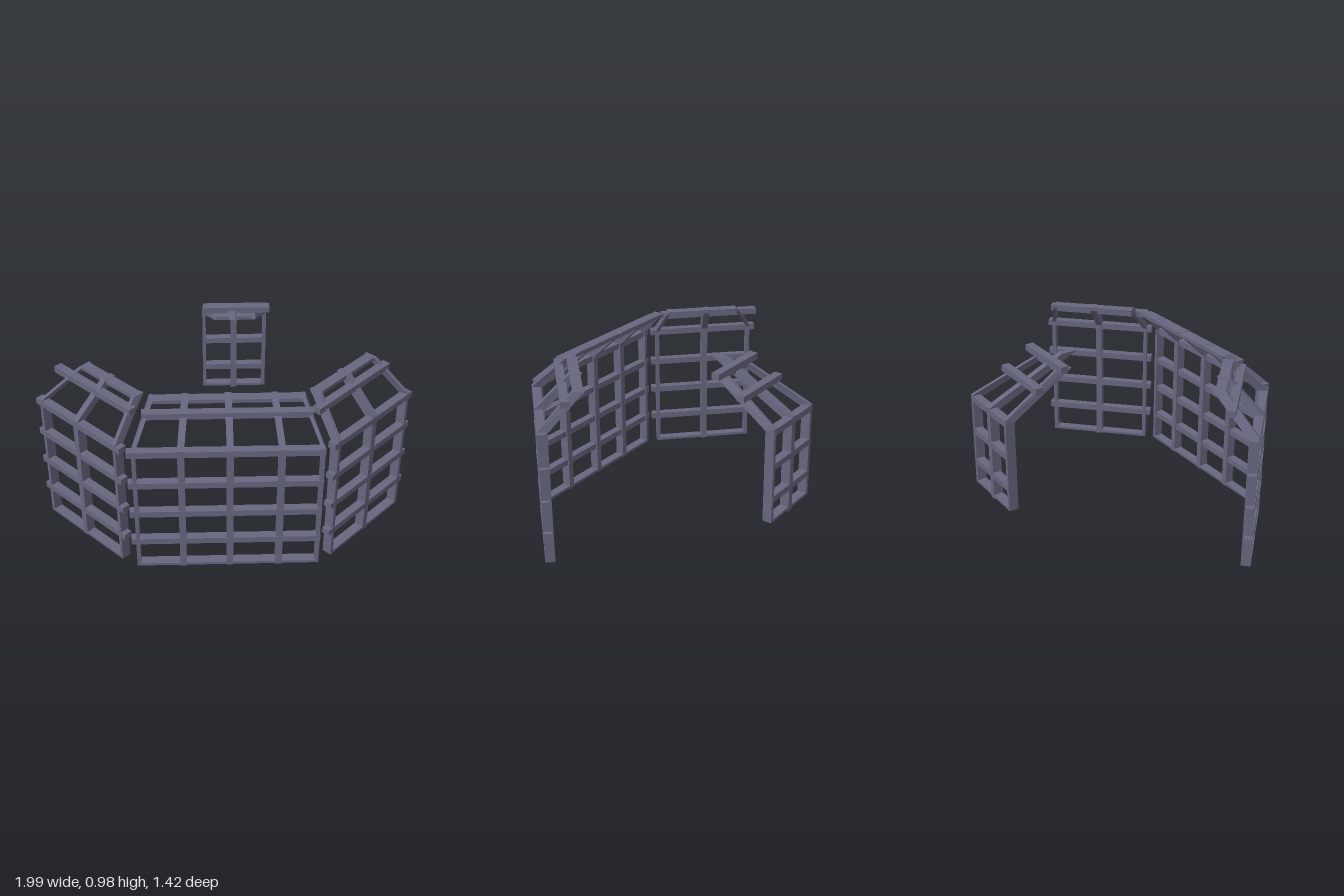
import * as THREE from 'three';

const material = new THREE.MeshStandardMaterial({ color: 0x66667f, flatShading: true });
const BEND = 0.764; // height where the bars lean inwards

function addMesh(group, geometry, name) {
  const mesh = new THREE.Mesh(geometry, material);
  mesh.name = name;
  group.add(mesh);
}

function addBox(group, name, x, y, z, w, h, d) {
  const g = new THREE.BoxGeometry(w, h, d);
  g.translate(x, y, z);
  addMesh(group, g, name);
}

// Upright bar: straight below the bend, leaning back above it and drifting sideways from x to xTop
function addBar(group, name, p, x, xTop, width, bottom, top) {
  const outer = -(top - BEND) / p.slope;
  const inner = -0.053 - (top - p.innerBend) / p.slope;
  const shape = new THREE.Shape([
    [0, bottom], [0, BEND], [outer, top], [inner, top], [-0.053, p.innerBend], [-0.053, bottom],
  ].map(([n, y]) => new THREE.Vector2(n, y)));
  const g = new THREE.ExtrudeGeometry(shape, { depth: width, bevelEnabled: false });
  g.translate(0, 0, -width / 2);
  g.rotateY(-Math.PI / 2);
  const pos = g.attributes.position;
  for (let i = 0; i < pos.count; i++) {
    const lean = Math.max(0, (pos.getY(i) - BEND) / (top - BEND));
    pos.setX(i, pos.getX(i) + x + (xTop - x) * lean);
  }
  g.computeVertexNormals();
  addMesh(group, g, name);
  return (outer + inner) / 2;
}

// One lattice panel; its outer face lies on local z = 0
function makePanel(p) {
  const panel = new THREE.Group();
  panel.name = p.name;
  const [l, r] = p.sides, [lt, rt] = p.topSides;
  // Thin frame
  addBar(panel, 'frameSide', p, l, lt, 0.02, p.bottom + 0.005, p.frameTop);
  const topZ = addBar(panel, 'frameSide', p, r, rt, 0.02, p.bottom + 0.005, p.frameTop);
  addBox(panel, 'frameBottom', (l + r) / 2, p.bottom + 0.0125, -0.0265, r - l, 0.015, 0.053);
  addBox(panel, 'frameTop', (lt + rt) / 2, p.frameTop - 0.01, topZ, rt - lt + 0.02, 0.02, 0.056);
  // Uprights
  for (const [x, xTop] of p.bars) addBar(panel, 'upright', p, x, xTop, 0.035, p.barBottom, p.barTop);
  // Cross slats: [x, y, z, width]
  for (const [x, y, z, w] of p.slats) addBox(panel, 'slat', x, y, z, w, 0.035, 0.046);
  panel.position.set(p.at[0], 0, p.at[1]);
  panel.rotation.y = p.turn;
  return panel;
}

const levels = [0.175, 0.36, 0.548, 0.743];
const rows = (ys, x, width) => ys.map((y) => [x, y, -0.022, width]);

export function createModel() {
  const model = new THREE.Group();
  model.name = 'latticeShell';
  const front = { slope: 0.95, innerBend: 0.752, bottom: 0, frameTop: 0.94, barBottom: 0, barTop: 0.942 };

  model.add(makePanel({
    ...front, name: 'frontPanel', at: [0, 0.71], turn: 0,
    sides: [-0.465, 0.478], topSides: [-0.375, 0.39],
    bars: [[-0.23, -0.205], [0.016, 0.012], [0.275, 0.245]],
    slats: [...rows(levels, -0.005, 0.99), [0.005, 0.887, -0.147, 0.855]],
  }));
  model.add(makePanel({
    ...front, name: 'leftPanel', at: [0.769, 0.443], turn: Math.PI / 4,
    sides: [-0.287, 0.29], topSides: [-0.225, 0.225],
    bars: [[0.003, 0.003]],
    slats: [...rows(levels, 0, 0.65), [-0.015, 0.89, -0.147, 0.58]],
  }));
  model.add(makePanel({
    ...front, name: 'rightPanel', at: [-0.764, 0.447], turn: -Math.PI / 4,
    sides: [-0.285, 0.285], topSides: [-0.16, 0.235],
    bars: [[-0.01, 0.015]],
    slats: [...rows(levels, 0, 0.65), [-0.015, 0.89, -0.147, 0.58]],
  }));
  // Rear panel faces backwards, so its local x is reversed
  model.add(makePanel({
    name: 'rearPanel', at: [0, -0.713], turn: Math.PI,
    slope: 0.5, innerBend: 0.742, bottom: 0.22, frameTop: 0.933, barBottom: 0.213, barTop: 0.98,
    sides: [-0.265, 0.097], topSides: [-0.178, 0.04],
    bars: [[-0.082, -0.055]],
    slats: [
      ...rows(levels.slice(1), -0.083, 0.37),
      [-0.083, 0.874, -0.21, 0.37], [-0.083, 0.957, -0.363, 0.37],
    ],
  }));
  return model;
}
